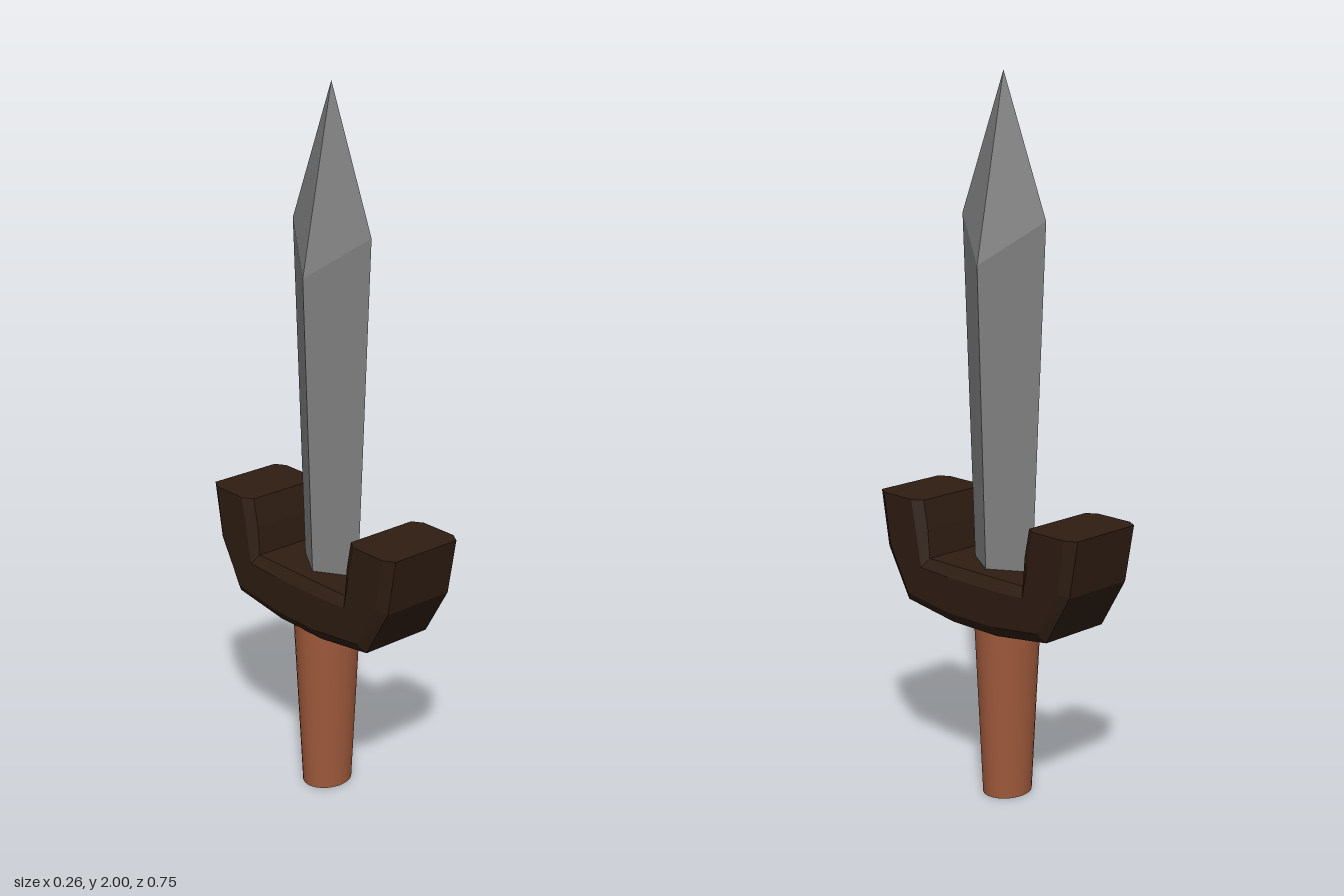
import * as THREE from 'three';

const paint = (color) => new THREE.MeshStandardMaterial({ color, flatShading: true });

// Flat-shaded solid through a series of rings (counterclockwise seen from ahead), capped at both ends
function loft(rings) {
  const pos = [];
  const tri = (a, b, c) => {
    if (new THREE.Triangle(a, b, c).getArea() > 1e-8) {
      for (const p of [a, b, c]) pos.push(p.x, p.y, p.z);
    }
  };
  const n = rings[0].length;
  for (let i = 0; i < rings.length - 1; i++) {
    for (let j = 0; j < n; j++) {
      const k = (j + 1) % n;
      const a = rings[i][j], b = rings[i][k], c = rings[i + 1][k], d = rings[i + 1][j];
      tri(a, b, c);
      tri(a, c, d);
    }
  }
  const first = rings[0], last = rings[rings.length - 1];
  for (let j = 1; j < n - 1; j++) {
    tri(first[0], first[j + 1], first[j]);
    tri(last[0], last[j], last[j + 1]);
  }
  const geo = new THREE.BufferGeometry();
  geo.setAttribute('position', new THREE.Float32BufferAttribute(pos, 3));
  geo.computeVertexNormals();
  return geo;
}

const v = (x, y, z) => new THREE.Vector3(x, y, z);

// Diamond section; its x and z corners may sit at different heights
const diamond = (x, yx, z, yz) => [v(x, yx, 0), v(0, yz, -z), v(-x, yx, 0), v(0, yz, z)];

// Chamfered section of the guard between an inner and an outer [z, y] point
function guardSection([inner, outer]) {
  const a = v(0, inner[1], inner[0]), b = v(0, outer[1], outer[0]);
  const t = 0.03 / a.distanceTo(b);
  const at = (x, s) => a.clone().lerp(b, s).setX(x);
  const W = 0.128, w = 0.109;
  return [at(W, t), at(W, 1 - t), at(w, 1), at(-w, 1),
    at(-W, 1 - t), at(-W, t), at(-w, 0), at(w, 0)];
}

export function createModel() {
  const model = new THREE.Group();
  const add = (name, geo, mat) => {
    const mesh = new THREE.Mesh(geo, mat);
    mesh.name = name;
    model.add(mesh);
    return mesh;
  };
  const steel = paint(0x808080);

  // Four-sided blade widening towards a pyramid point
  add('blade', loft([
    diamond(0.068, 0.65, 0.11, 0.65),
    diamond(0.098, 1.5, 0.155, 1.62),
    diamond(0, 2, 0, 2),
  ]), steel);

  // U-shaped guard, swept from the front tip to the back tip
  const arm = [
    [[0.203, 0.83], [0.376, 0.83]],
    [[0.187, 0.75], [0.348, 0.67]],
    [[0.18, 0.667], [0.267, 0.53]],
    [[0.085, 0.667], [0.085, 0.505]],
  ];
  const mirrored = arm.map((s) => s.map(([z, y]) => [-z, y])).reverse();
  add('guard', loft([...arm, ...mirrored].map(guardSection)), paint(0x2e1d12));

  // Tapered oval grip with a steel end
  const leather = new THREE.MeshStandardMaterial({ color: 0xa05a3c });
  const grip = add('grip', new THREE.CylinderGeometry(0.1, 0.074, 0.52, 32), [leather, leather, steel]);
  grip.scale.z = 0.86;
  grip.position.set(-0.011, 0.26, -0.005);

  return model;
}
